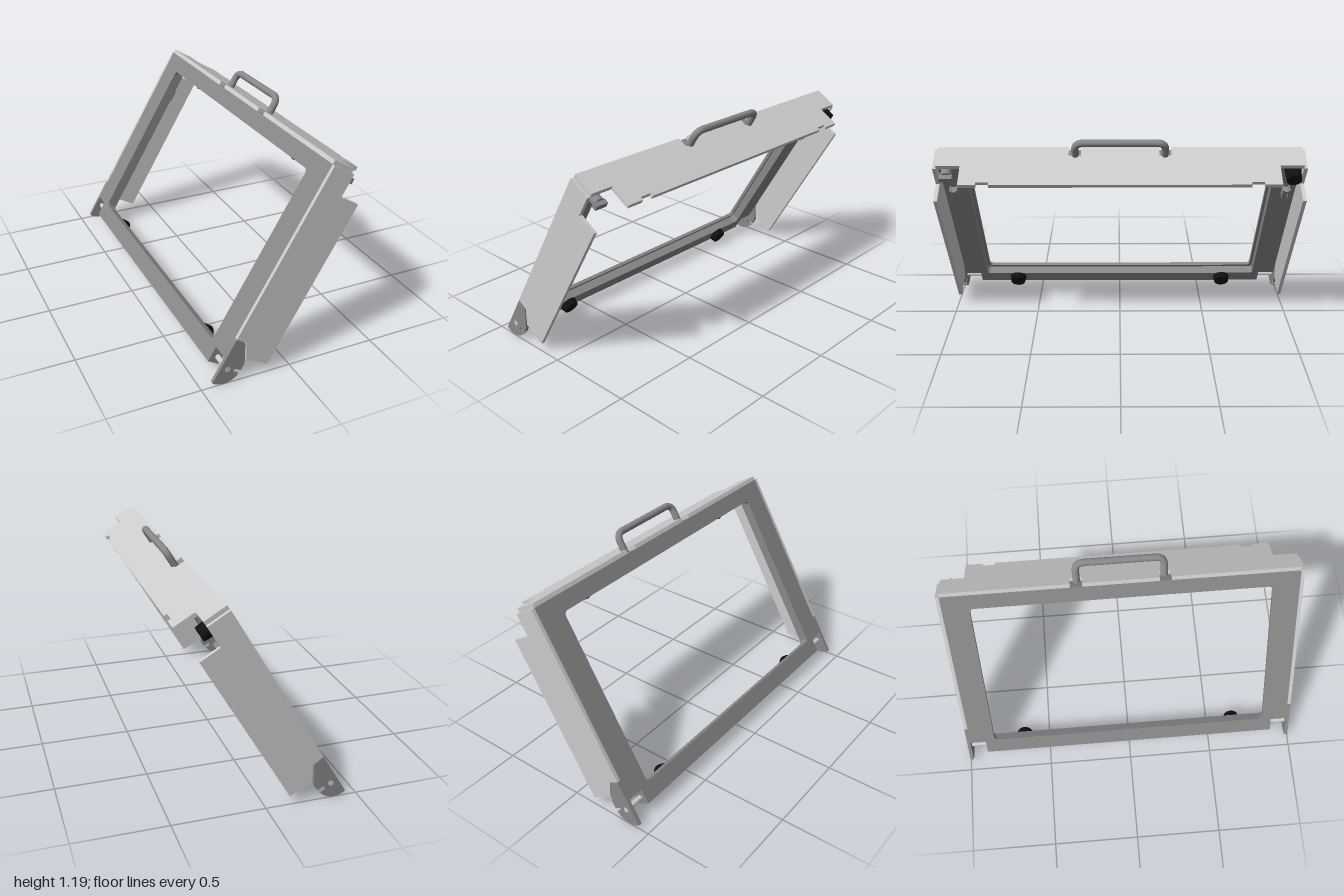
import * as THREE from 'three';

// Local axes: x = depth from the back face, y = up along the tilted frame, z = width
const light = new THREE.MeshStandardMaterial({ color: 0xcccccc });
const dark = new THREE.MeshStandardMaterial({ color: 0x888888 });
const black = new THREE.MeshStandardMaterial({ color: 0x111111 });

function polygon(points) {
  return new THREE.Shape(points.map(([x, y]) => new THREE.Vector2(x, y)));
}

function extrude(shape, depth) {
  return new THREE.ExtrudeGeometry(shape, { depth, bevelEnabled: false, curveSegments: 12 });
}

function roundedHole(halfWidth, bottom, top, r) {
  const p = new THREE.Path();
  p.absarc(halfWidth - r, bottom + r, r, -Math.PI / 2, 0);
  p.absarc(halfWidth - r, top - r, r, 0, Math.PI / 2);
  p.absarc(-halfWidth + r, top - r, r, Math.PI / 2, Math.PI);
  p.absarc(-halfWidth + r, bottom + r, r, Math.PI, Math.PI * 1.5);
  p.closePath();
  return p;
}

export function createModel() {
  const model = new THREE.Group();
  const body = new THREE.Group();
  body.name = 'tiltedFrame';
  body.position.set(-0.44, 0.02, 0);
  body.rotation.z = -THREE.MathUtils.degToRad(30.7);
  model.add(body);

  function add(name, geometry, material, x = 0, y = 0, z = 0) {
    const mesh = new THREE.Mesh(geometry, material);
    mesh.name = name;
    mesh.position.set(x, y, z);
    body.add(mesh);
    return mesh;
  }

  // Cylinder standing on the frame's front, from depth x0 to x1
  function stud(name, material, x0, x1, y, z, r, rEnd = r) {
    const g = new THREE.CylinderGeometry(rEnd, r, x1 - x0, 28).rotateZ(-Math.PI / 2);
    return add(name, g, material, (x0 + x1) / 2, y, z);
  }

  // Frame: back lip with a narrower opening, then the deeper surround
  const layers = [
    ['frameLip', 0, 0.02, 0.83, 0.157, 1.157],
    ['frameSurround', 0.02, 0.05, 0.845, 0.14, 1.172],
  ];
  for (const [name, x, depth, half, bottom, top] of layers) {
    const outline = polygon([
      [-0.885, 0.057], [0.885, 0.057], [0.885, 0.145], [0.98, 0.145],
      [0.98, 1.25], [-0.98, 1.25], [-0.98, 0.145], [-0.885, 0.145],
    ]);
    outline.holes.push(roundedHole(half, bottom, top, 0.025));
    add(name, extrude(outline, depth).rotateY(Math.PI / 2), dark, x);
  }

  // Top cover: stepped ends, front notches and slots for the handle
  const halfLid = [
    [0, 0.21], [0.06, 0.21], [0.06, 0.275], [0, 0.275], [0, 0.98], [0.133, 0.98],
    [0.133, 0.85], [0.262, 0.85], [0.262, 0.757], [0.243, 0.757], [0.243, 0.69], [0.262, 0.69],
  ];
  const mirrored = halfLid.map(([x, z]) => [x, -z]).reverse();
  const lid = extrude(polygon([...halfLid, ...mirrored]), 0.023).rotateX(Math.PI / 2);
  add('topCover', lid, light, 0, 1.273);

  // Handle
  const path = new THREE.CurvePath();
  const V = (y, z) => new THREE.Vector3(0.056, y, z);
  path.add(new THREE.LineCurve3(V(1.25, -0.24), V(1.317, -0.24)));
  path.add(new THREE.QuadraticBezierCurve3(V(1.317, -0.24), V(1.367, -0.24), V(1.367, -0.19)));
  path.add(new THREE.LineCurve3(V(1.367, -0.19), V(1.367, 0.19)));
  path.add(new THREE.QuadraticBezierCurve3(V(1.367, 0.19), V(1.367, 0.24), V(1.317, 0.24)));
  path.add(new THREE.LineCurve3(V(1.317, 0.24), V(1.25, 0.24)));
  add('handle', new THREE.TubeGeometry(path, 96, 0.02, 16), dark);

  // Side panel outline
  const panel = polygon([
    [0, 0.262], [0.064, 0.262], [0.117, 0.174], [0.254, 0.178],
    [0.252, 1.122], [0.133, 1.122], [0.133, 1.25], [0, 1.25],
  ]);

  // Pivot foot outline: curved sole with an open slot in its front edge
  const foot = new THREE.Shape();
  foot.moveTo(0, 0.262);
  foot.lineTo(0, 0.003);
  foot.absarc(0.015, 0.102, 0.102, -1.717, -0.18, false);
  foot.lineTo(0.12, 0.086);
  foot.lineTo(0.09, 0.086);
  foot.absarc(0.09, 0.097, 0.011, -Math.PI / 2, -Math.PI * 1.5, true);
  foot.lineTo(0.12, 0.108);
  foot.lineTo(0.12, 0.15);
  foot.lineTo(0.06, 0.255);
  foot.closePath();

  for (const s of [-1, 1]) {
    const z0 = s > 0 ? 0.98 : -1;
    add('sidePanel', extrude(panel, 0.02), light, 0, 0, z0);
    add('pivotFoot', extrude(foot, 0.02), dark, 0, 0, z0);

    // Pivot pin between the frame and the foot
    const pin = new THREE.CylinderGeometry(0.015, 0.015, 0.125, 20).rotateX(Math.PI / 2);
    add('pivotPin', pin, light, 0.042, 0.095, s * 0.9385);

    // Rubber bumpers on the bottom and top rails
    stud('lowerBumper', black, 0.07, 0.105, 0.1, s * 0.65, 0.05, 0.044);
    stud('upperBumper', black, 0.07, 0.105, 1.19, s * 0.6, 0.05, 0.044);

    // Small U-shaped clip on each side rail
    for (const k of [-1, 1]) {
      add('clipArm', new THREE.BoxGeometry(0.04, 0.07, 0.01), dark, 0.09, 0.993, s * 0.925 + k * 0.016);
    }
    add('clipBridge', new THREE.BoxGeometry(0.04, 0.02, 0.03), dark, 0.09, 1.01, s * 0.925);
  }

  // Lock with its cam on one corner, rubber stop on the other
  stud('lockBody', dark, 0.07, 0.11, 1.21, 0.93, 0.045);
  stud('lockStem', dark, 0.11, 0.155, 1.21, 0.93, 0.03);
  add('lockCam', new THREE.BoxGeometry(0.03, 0.03, 0.07), dark, 0.165, 1.21, 0.93);
  stud('cornerStop', black, 0.07, 0.178, 1.205, -0.93, 0.046, 0.04);

  return model;
}
